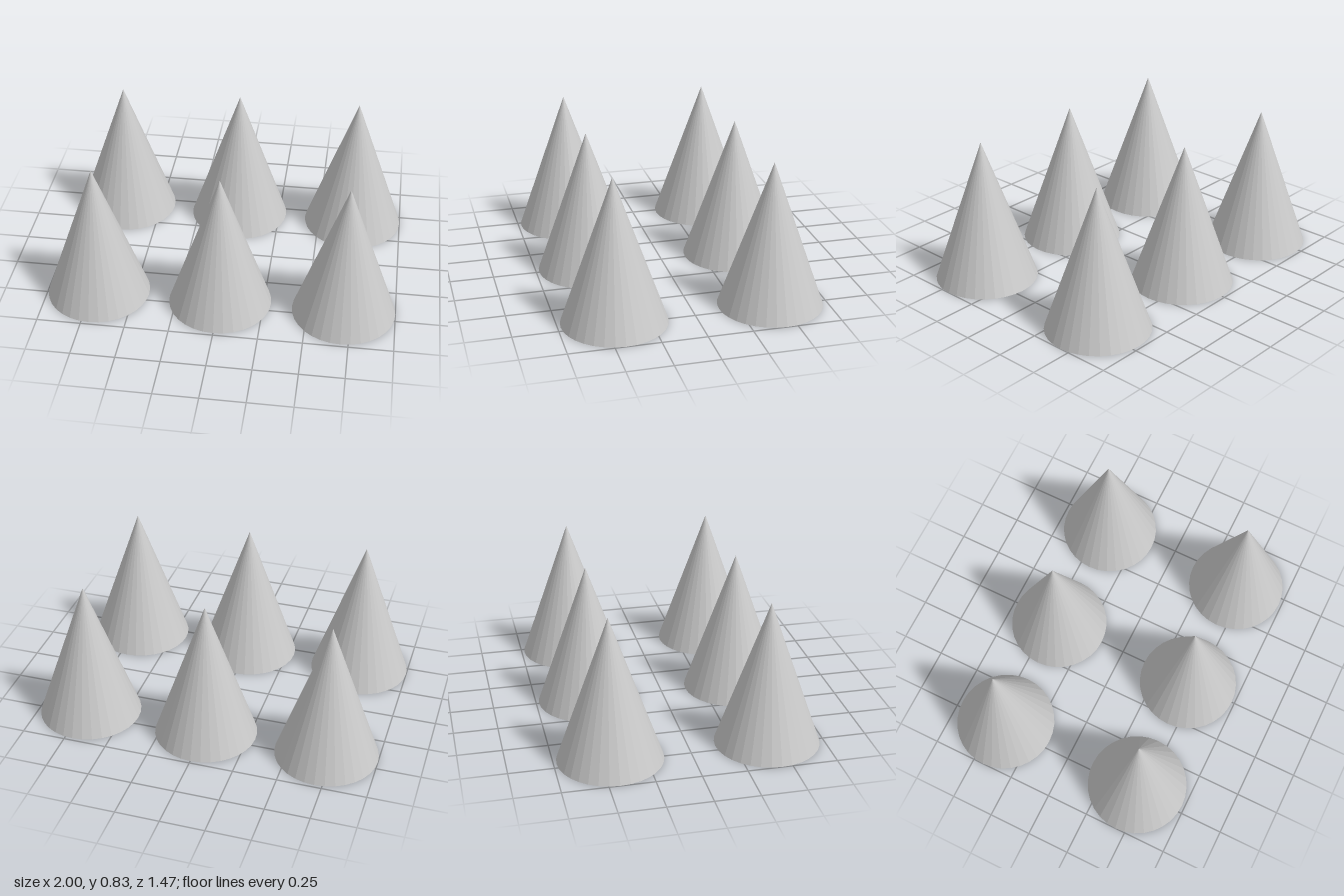
import * as THREE from 'three';

const RADIUS = 0.293;
const HEIGHT = 0.83;

export function createModel() {
  const group = new THREE.Group();
  group.name = 'coneGrid';
  const material = new THREE.MeshStandardMaterial({ color: 0xcccccc, flatShading: true });

  // One closed faceted cone standing on the ground
  const geometry = new THREE.ConeGeometry(RADIUS, HEIGHT, 32);
  geometry.translate(0, HEIGHT / 2, 0);

  // Two rows of three cones
  for (const [row, z] of [['front', 0.44], ['back', -0.44]]) {
    for (const [column, x] of [['Right', -0.707], ['Middle', 0], ['Left', 0.707]]) {
      const cone = new THREE.Mesh(geometry, material);
      cone.name = `${row}${column}Cone`;
      cone.position.set(x, 0, z);
      group.add(cone);
    }
  }
  return group;
}
